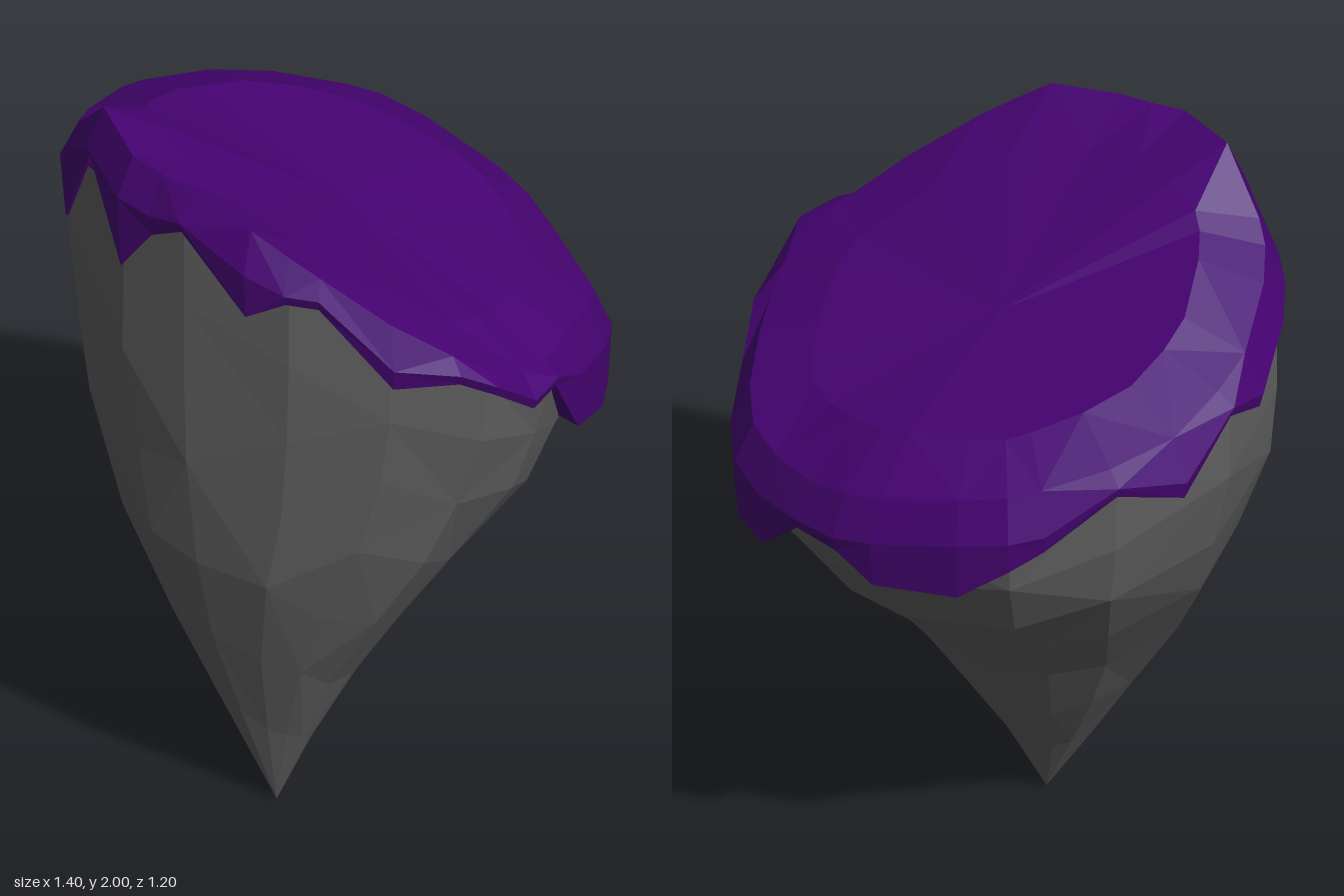
import * as THREE from 'three';

// Rim stations seen from above, right -> front -> left -> back:
// [x, z, hem height, rim height, height further in on the top]
const RIM = [
  [.69, .07, 1.40, 1.46, 1.53], [.70, .18, 1.40, 1.49, 1.56], [.67, .30, 1.50, 1.55, 1.59],
  [.60, .36, 1.54, 1.60, 1.63], [.47, .46, 1.53, 1.70, 1.71], [.30, .54, 1.75, 1.82, 1.78],
  [.22, .57, 1.75, 1.87, 1.81], [.12, .60, 1.69, 1.93, 1.84], [-.08, .59, 1.86, 1.96, 1.87],
  [-.18, .575, 1.80, 1.97, 1.89], [-.28, .565, 1.66, 1.98, 1.91], [-.45, .455, 1.86, 2.0, 1.92],
  [-.58, .37, 1.57, 1.86, 1.90], [-.62, .32, 1.57, 1.82, 1.87], [-.66, .22, 1.62, 1.78, 1.84],
  [-.70, .01, 1.56, 1.71, 1.77], [-.68, -.12, 1.61, 1.67, 1.73], [-.63, -.29, 1.46, 1.62, 1.69],
  [-.51, -.43, 1.52, 1.58, 1.65], [-.36, -.54, 1.38, 1.54, 1.61], [-.28, -.58, 1.32, 1.52, 1.59],
  [-.15, -.60, 1.22, 1.49, 1.57], [.08, -.60, 1.19, 1.43, 1.54], [.19, -.58, 1.25, 1.40, 1.52],
  [.32, -.52, 1.24, 1.37, 1.50], [.45, -.44, 1.10, 1.36, 1.48], [.55, -.36, 1.10, 1.38, 1.48],
  [.61, -.25, 1.11, 1.41, 1.49], [.66, -.07, 1.18, 1.45, 1.52],
];

// Rock extents by height: [y, left x, right x, back z, front z]
const PROFILE = [
  [0, .01, .01, .30, .30], [.2, -.11, .09, .20, .35], [.4, -.23, .18, .06, .42],
  [.6, -.35, .30, -.05, .48], [.8, -.46, .425, -.21, .53], [1.0, -.555, .55, -.42, .55],
  [1.2, -.63, .62, -.535, .56], [1.4, -.67, .67, -.565, .57], [2, -.67, .67, -.57, .57],
];

// Point on the rock at height y in the direction of a rim station
function section([x, z], y, grow) {
  let i = 0;
  while (i < PROFILE.length - 2 && PROFILE[i + 1][0] < y) i++;
  const a = PROFILE[i], b = PROFILE[i + 1], t = (y - a[0]) / (b[0] - a[0]);
  const [, l, r, k, f] = a.map((v, j) => v + (b[j] - v) * t);
  // the right side bulges towards the back and is flatter towards the front
  const u = x / .7, v = z / .6, g = grow - .12 * Math.max(u, 0) * v;
  return [(l + r) / 2 + u * (r - l) / 2 * g, y, (k + f) / 2 + v * (f - k) / 2 * g];
}

// Skin a stack of rings, each closed around the axis
function skin(rings) {
  const n = rings[0].length, index = [];
  for (let r = 0; r < rings.length - 1; r++) {
    for (let i = 0; i < n; i++) {
      const j = (i + 1) % n, a = r * n + i, b = r * n + j;
      // alternate the diagonals for an irregular, chipped surface
      if ((i + r) % 2) index.push(a, a + n, b, b, a + n, b + n);
      else index.push(a, a + n, b + n, a, b + n, b);
    }
  }
  const g = new THREE.BufferGeometry();
  g.setAttribute('position', new THREE.Float32BufferAttribute(rings.flat(2), 3));
  g.setIndex(index);
  g.computeVertexNormals();
  return g;
}

function part(name, geometry, color) {
  const mesh = new THREE.Mesh(geometry,
    new THREE.MeshStandardMaterial({ color, flatShading: true, side: THREE.DoubleSide }));
  mesh.name = name;
  return mesh;
}

export function createModel() {
  const group = new THREE.Group();
  group.name = 'rockSpire';

  // Tapering rock: fewer columns than the cap, slightly roughened
  const columns = RIM.filter((_, i) => i % 2 === 0);
  const levels = [0, .15, .3, .45, .6, .74, .87, 1];
  const rock = levels.map((t, r) => columns.map((s, i) => {
    const rough = r > 0 && r < 6 ? .012 * Math.sin(i * 2.7 + r * 4.1) : 0;
    const top = Math.max(s[3] - .1, s[2] + .02);
    return section(s, top * (t + rough), 1.02 + rough);
  }));
  group.add(part('rock', skin(rock), 0x606060));

  // Cap: underside of the overhang, jagged hem, shoulder, rim, dished top
  const inset = (k, height) => RIM.map((s) => [s[0] * k, height(s), s[1] * k]);
  const cap = [
    RIM.map((s) => section(s, s[2] + .03, .96)),
    inset(.985, (s) => s[2]),
    inset(1, ([, , hem, rim]) => Math.max(rim - .11, hem + .03)),
    inset(.93, (s) => s[3]),
    inset(.7, (s) => s[4]),
    inset(.35, (s) => (s[4] + 1.65) / 2),
    inset(0, () => 1.65),
  ];
  group.add(part('cap', skin(cap), 0x470374));

  return group;
}
